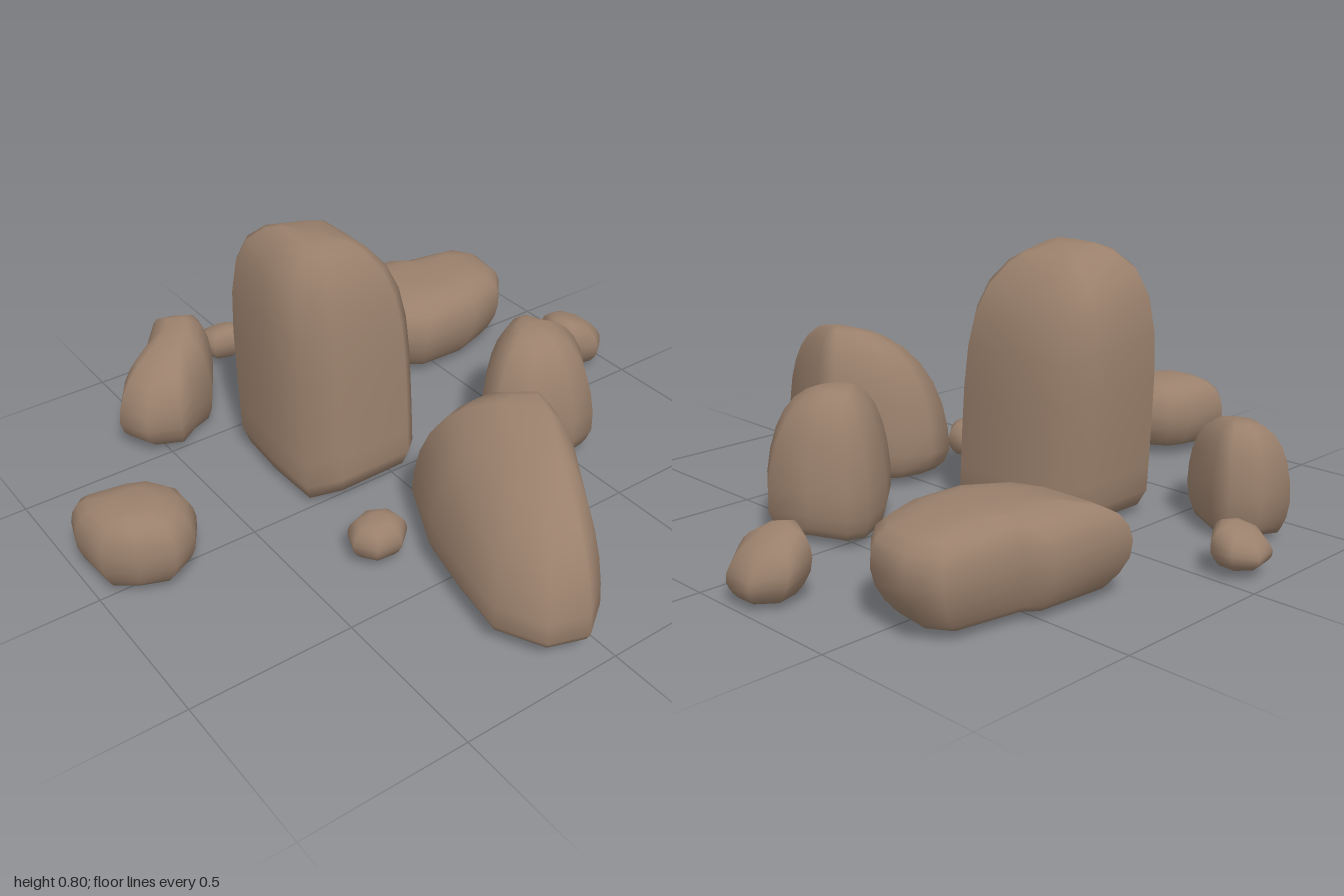
import * as THREE from 'three';

const stone = new THREE.MeshStandardMaterial({ color: 0x9a806c });
stone.name = 'brown stone';

// Relative heights of the cross-sections of every stone.
const heights = [0, 0.06, 0.16, 0.32, 0.5, 0.66, 0.79, 0.89, 0.96, 0.985];

// A stone is an outline [x, z] seen from above, running left, back, right, front,
// that shrinks towards its peak. dome: squareness of the top. undercut and
// foot: how far, and up to what relative height, the base is drawn in.
// lean: sideways shift of the top. slope: fall of the top along x and z.
// belly: how far the middle of the underside hangs down.
function rock(name, { bottom, top, peak, dome, undercut, foot, outline, lean = [0, 0], slope = [0, 0], belly = 0 }) {
  const n = outline.length, positions = [], index = [];
  const [px, pz] = peak;
  for (const t of heights) {
    const base = 1 - undercut * Math.max(0, 1 - t / foot) ** 2;
    const scale = base * (1 - t ** dome) ** 0.4;
    for (const [x, z] of outline) {
      const dx = (x - px) * scale, dz = (z - pz) * scale;
      const y = bottom + t * (top - bottom - slope[0] * dx - slope[1] * dz);
      positions.push(px + dx + lean[0] * t, y, pz + dz + lean[1] * t);
    }
  }
  positions.push(px, bottom - belly, pz, px + lean[0], top, pz + lean[1]);
  const last = (heights.length - 1) * n, low = heights.length * n, high = low + 1;
  for (let i = 0; i < n; i++) {
    const j = (i + 1) % n;
    for (let r = 0; r < last; r += n) {
      index.push(r + i, r + n + i, r + j, r + j, r + n + i, r + n + j);
    }
    index.push(low, i, j, high, last + j, last + i);
  }
  const geometry = new THREE.BufferGeometry();
  geometry.setAttribute('position', new THREE.Float32BufferAttribute(positions, 3));
  geometry.setIndex(index);
  geometry.computeVertexNormals();
  const mesh = new THREE.Mesh(geometry, stone);
  mesh.name = name;
  return mesh;
}

// A small stone with a regular seven-sided oval outline.
function pebble(name, [x, z], [rx, rz], turn, shape) {
  const outline = Array.from({ length: 7 }, (_, i) => {
    const a = turn + i / 7 * Math.PI * 2;
    return [x - rx * Math.cos(a), z - rz * Math.sin(a)];
  });
  return rock(name, { peak: [x, z], dome: 3.5, undercut: 0.35, foot: 0.5, outline, ...shape });
}

export function createModel() {
  const group = new THREE.Group();
  group.name = 'rockCluster';
  group.add(
    // Large stones
    rock('tallStandingRock', {
      bottom: 0.025, top: 0.8, peak: [-0.15, 0.13], dome: 6, undercut: 0.08, foot: 0.07,
      lean: [-0.04, 0], slope: [0, -0.2],
      outline: [[-.43, .27], [-.43, 0], [-.4, -.09], [-.2, -.1], [-.02, -.1], [.025, -.05], [.03, .2], [0, .31], [-.2, .315], [-.39, .3]],
    }),
    rock('broadSlopingRock', {
      bottom: 0.03, top: 0.485, peak: [0.52, -0.11], dome: 2.6, undercut: 0.14, foot: 0.16,
      slope: [0.08, 0.25], belly: 0.03,
      outline: [[.2, 0], [.22, -.09], [.38, -.25], [.5, -.23], [.66, -.18], [.9, -.03], [.97, .07], [.93, .18], [.79, .25], [.6, .22], [.42, .18], [.21, .08]],
    }),
    rock('longBackRock', {
      bottom: 0.03, top: 0.285, peak: [-0.57, -0.56], dome: 7, undercut: 0.22, foot: 0.5,
      lean: [0, -0.03],
      outline: [[-.8, -.23], [-.78, -.5], [-.74, -.55], [-.7, -.79], [-.62, -.84], [-.48, -.82], [-.4, -.75], [-.35, -.6], [-.355, -.4], [-.45, -.26], [-.56, -.22], [-.76, -.22]],
    }),
    rock('domedBackRock', {
      bottom: 0.025, top: 0.43, peak: [0.1, -0.46], dome: 2.4, undercut: 0.17, foot: 0.25,
      outline: [[-.08, -.5], [-.06, -.56], [.06, -.61], [.16, -.67], [.3, -.57], [.31, -.48], [.27, -.33], [.18, -.26], [.1, -.26], [-.02, -.38]],
    }),
    // Medium stones
    rock('angularLeftRock', {
      bottom: 0.02, top: 0.33, peak: [-0.68, 0.36], dome: 3.6, undercut: 0.2, foot: 0.35,
      slope: [0.08, 0.2],
      outline: [[-.86, .37], [-.82, .29], [-.76, .22], [-.69, .23], [-.54, .32], [-.51, .4], [-.455, .48], [-.5, .58], [-.6, .625], [-.67, .58], [-.74, .47]],
    }),
    rock('roundedFrontRock', {
      bottom: 0.035, top: 0.255, peak: [-0.04, 0.86], dome: 5, undercut: 0.26, foot: 0.45,
      outline: [[-.215, .95], [-.19, .8], [-.16, .73], [-.08, .68], [0, .68], [.08, .73], [.12, .81], [.08, .91], [.02, .99], [-.12, 1], [-.19, .98]],
    }),
    // Small stones
    pebble('smallBackRock', [-0.16, -0.907], [0.115, 0.113], 0.2,
      { bottom: 0.02, top: 0.185, lean: [0, 0.025], slope: [0, -0.35] }),
    pebble('smallLeftRock', [-0.895, 0.083], [0.086, 0.09], 0.3,
      { bottom: 0.03, top: 0.135, slope: [-0.35, 0] }),
    pebble('smallRightRock', [0.302, 0.27], [0.083, 0.095], 0.1, { bottom: 0.03, top: 0.143 }),
  );
  return group;
}
